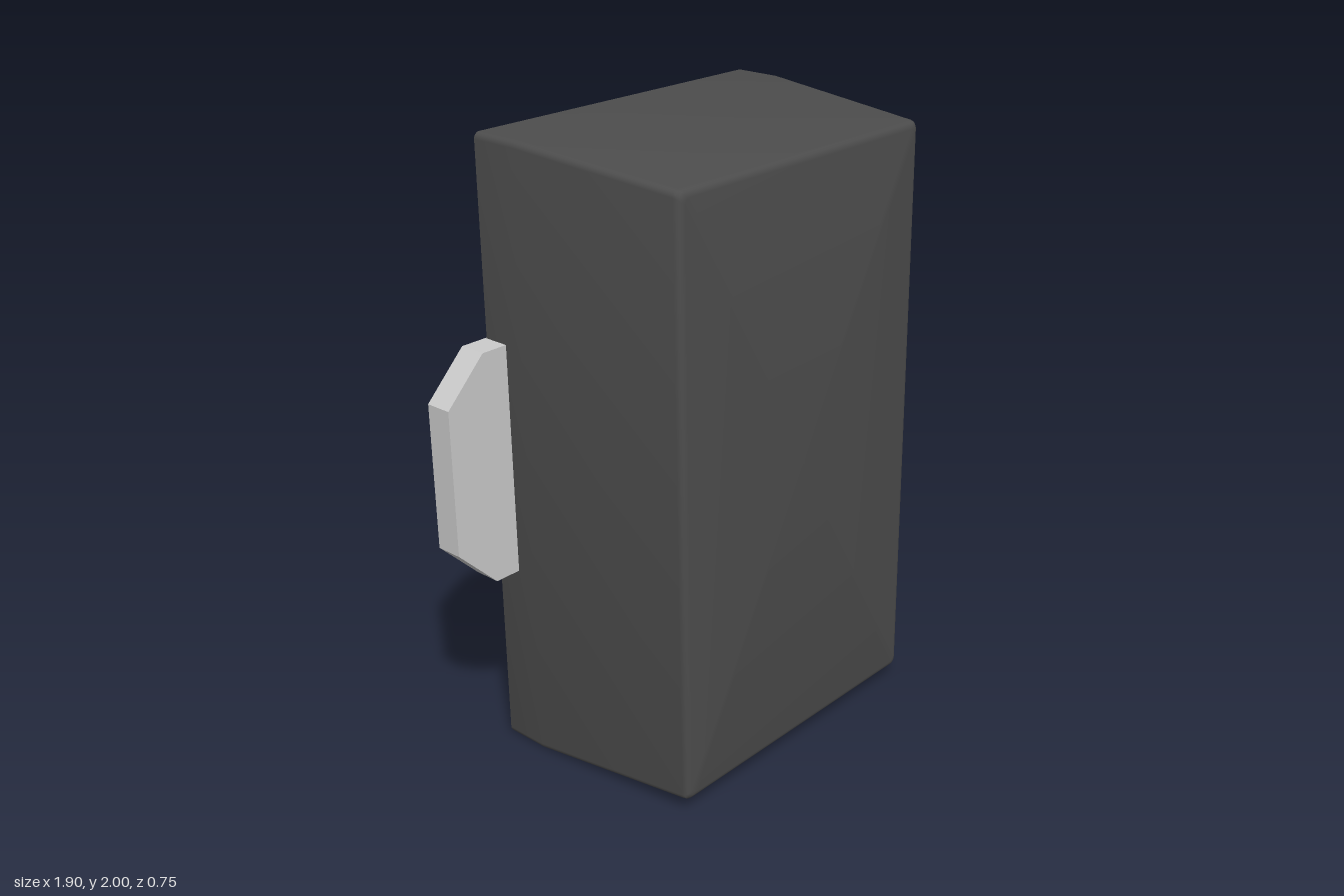
import * as THREE from 'three';
import { toCreasedNormals } from 'three/addons/utils/BufferGeometryUtils.js';

const BACK = -0.375, THICK = 0.09;

// Rounded rectangle ring, counter-clockwise seen from +z
function ring(x0, x1, y0, y1, r, z, steps = 4) {
  const corners = [[x1 - r, y1 - r], [x0 + r, y1 - r], [x0 + r, y0 + r], [x1 - r, y0 + r]];
  return corners.flatMap(([cx, cy], k) =>
    Array.from({ length: steps + 1 }, (_, s) => {
      const a = (k + s / steps) * Math.PI / 2;
      return [cx + r * Math.cos(a), cy + r * Math.sin(a), z];
    }));
}

// Tapered body lofted through rings from back to front, closed by two fans
function bodyGeometry() {
  const sections = [[-0.37, 0], [-0.22, 0], [0.352, 0.047]]; // z, inset
  for (let i = 1; i <= 4; i++) {
    const a = i / 4 * Math.PI / 2;
    sections.push([0.352 + 0.023 * Math.sin(a), 0.047 + 0.023 * (1 - Math.cos(a))]);
  }
  const rings = sections.map(([z, d]) => ring(-0.72 + d, 0.44 - d, d, 2 - d, 0.02, z));
  const n = rings[0].length;
  const pos = rings.flat(2);
  const index = [];
  for (let i = 0; i < rings.length - 1; i++) {
    for (let j = 0; j < n; j++) {
      const a = i * n + j, b = i * n + (j + 1) % n;
      index.push(a, b, b + n, a, b + n, a + n);
    }
  }
  const last = (rings.length - 1) * n, centre = rings.length * n;
  pos.push(-0.14, 1, -0.37, -0.14, 1, 0.375);
  for (let j = 0; j < n; j++) {
    const k = (j + 1) % n;
    index.push(centre, k, j, centre + 1, last + j, last + k);
  }
  const g = new THREE.BufferGeometry();
  g.setAttribute('position', new THREE.Float32BufferAttribute(pos, 3));
  g.setIndex(index);
  return toCreasedNormals(g, 0.5);
}

export function createModel() {
  const group = new THREE.Group();
  const metal = new THREE.MeshStandardMaterial({ color: 0xcccccc });
  const plastic = new THREE.MeshStandardMaterial({ color: 0x4c4c4c });
  const add = (name, geometry, material) => {
    const mesh = new THREE.Mesh(geometry, material);
    mesh.name = name;
    group.add(mesh);
    return mesh;
  };

  add('body', bodyGeometry(), plastic);

  // Three leads, reaching a little way under the body
  ['bottomLead', 'middleLead', 'topLead'].forEach((name, i) => {
    add(name, new THREE.BoxGeometry(0.6, 0.19, THICK), metal)
      .position.set(0.65, 0.305 + 0.7 * i, BACK + THICK / 2);
  });

  // Chamfered heat tab across the back
  const x0 = -0.95, x1 = 0.35, y0 = 0.63, y1 = 1.38, c = 0.14;
  const outline = new THREE.Shape([
    [x0 + c, y0], [x1 - c, y0], [x1, y0 + c], [x1, y1 - c],
    [x1 - c, y1], [x0 + c, y1], [x0, y1 - c], [x0, y0 + c],
  ].map(([x, y]) => new THREE.Vector2(x, y)));
  add('heatTab', new THREE.ExtrudeGeometry(outline, { depth: THICK, bevelEnabled: false }), metal)
    .position.z = BACK;

  return group;
}
